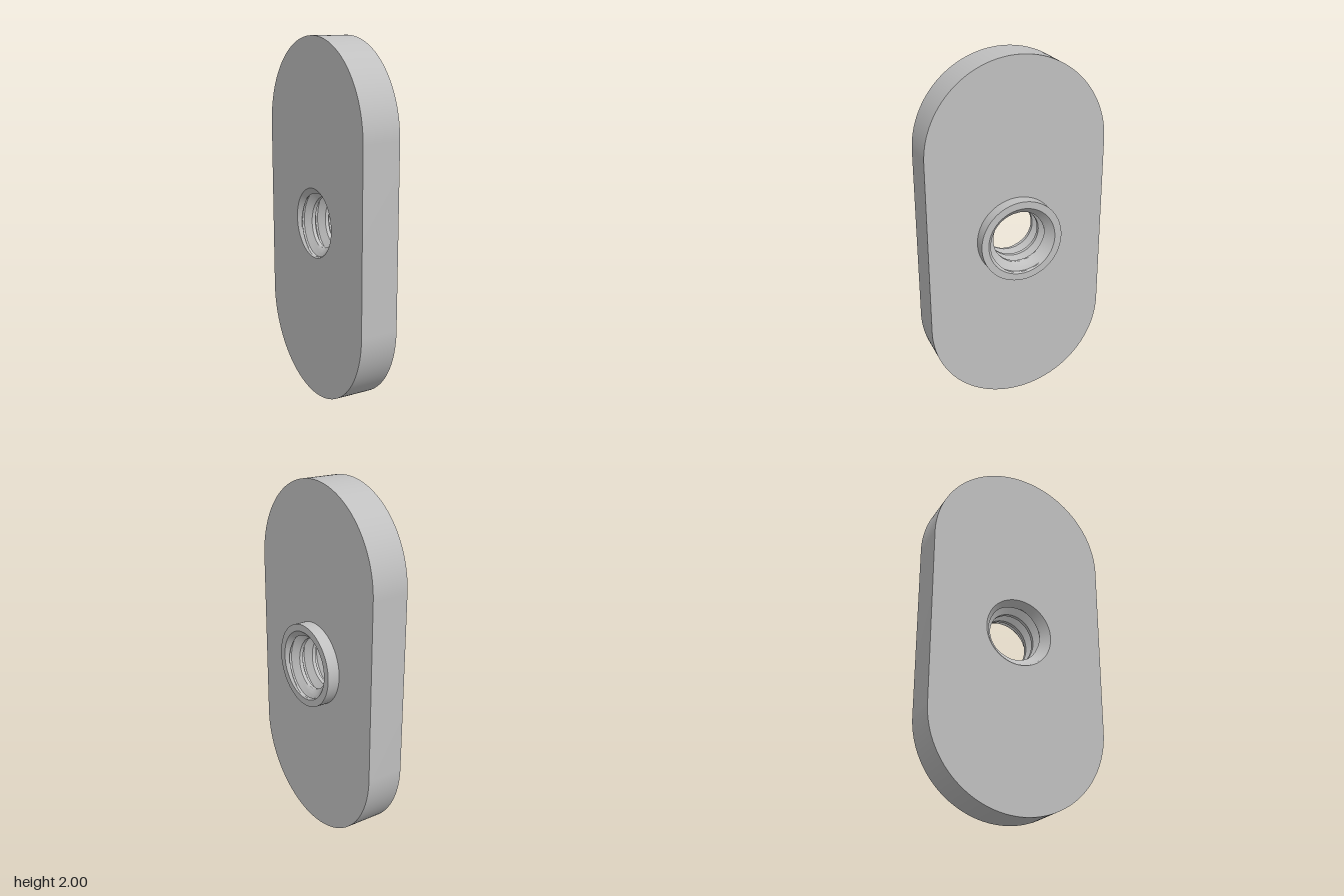
import * as THREE from 'three';
import { toCreasedNormals } from 'three/addons/utils/BufferGeometryUtils.js';

const BACK = -0.142, FACE = 0.071, TIP = 0.141; // plate back, plate face, boss end along x
const WIDTH_R = 0.507, BOSS_R = 0.232, MOUTH_R = 0.193;
const ROOT_R = 0.186, CREST_R = 0.142, PITCH = 0.085;

// Bore radius at a point: trapezoid thread with a countersink at both ends
function boreRadius(x, phase) {
  const f = phase - Math.floor(phase);
  const d = Math.abs(f - 0.5) * 2; // 0 at crest, 1 at root
  const ramp = Math.min(1, Math.max(0, (d - 0.25) / 0.625));
  const thread = CREST_R + (ROOT_R - CREST_R) * ramp;
  const depth = Math.min(x - BACK, TIP - x);
  return Math.max(thread, MOUTH_R - depth * 1.0);
}

// Internal thread: rows follow the helix and are clamped to the bore ends
function threadGeometry() {
  const around = 96, perTurn = 16;
  const first = Math.floor(BACK / PITCH) - 1, last = Math.ceil(TIP / PITCH);
  const rows = (last - first) * perTurn;
  const pos = [], index = [], xs = [];
  for (let j = 0; j <= around; j++) {
    const a = (j / around) * Math.PI * 2;
    for (let i = 0; i <= rows; i++) {
      const phase = first + i / perTurn;
      const x = Math.min(TIP, Math.max(BACK, (phase + j / around) * PITCH));
      const r = boreRadius(x, x / PITCH - j / around);
      xs.push(x);
      pos.push(x, r * Math.cos(a), r * Math.sin(a));
    }
  }
  const n = rows + 1;
  for (let j = 0; j < around; j++) {
    for (let i = 0; i < rows; i++) {
      const a = j * n + i, b = a + 1, c = a + n, d = c + 1;
      if (xs[b] > xs[a]) index.push(a, b, c);
      if (xs[d] > xs[c]) index.push(b, d, c);
    }
  }
  const g = new THREE.BufferGeometry();
  g.setAttribute('position', new THREE.Float32BufferAttribute(pos, 3));
  g.setIndex(index);
  return toCreasedNormals(g, 0.45);
}

export function createModel() {
  const model = new THREE.Group();
  model.name = 'threadedPlate';
  const metal = new THREE.MeshStandardMaterial({ color: 0xc0c0c0 });
  metal.name = 'grey metal';
  const add = (name, geometry, y = 0) => {
    const mesh = new THREE.Mesh(geometry, metal);
    mesh.name = name;
    mesh.position.y = y;
    model.add(mesh);
  };

  // Plate with rounded ends and a round hole
  const outline = new THREE.Shape();
  outline.absarc(0, 2 - WIDTH_R, WIDTH_R, 0, Math.PI, false);
  outline.absarc(0, WIDTH_R, WIDTH_R, Math.PI, Math.PI * 2, false);
  outline.closePath();
  const hole = new THREE.Path();
  hole.absarc(0, 1, MOUTH_R, 0, Math.PI * 2, true);
  outline.holes.push(hole);
  const plate = new THREE.ExtrudeGeometry(outline, { depth: FACE - BACK, bevelEnabled: false, curveSegments: 48 });
  plate.rotateY(Math.PI / 2).translate(BACK, 0, 0);
  add('plate', toCreasedNormals(plate, 0.5));

  // Raised collar around the hole
  const profile = [[BOSS_R, FACE], [BOSS_R, TIP], [MOUTH_R, TIP]].map(([r, h]) => new THREE.Vector2(r, h));
  const collar = new THREE.LatheGeometry(profile, 96);
  collar.rotateZ(-Math.PI / 2);
  add('collar', toCreasedNormals(collar, 0.5), 1);

  // Threaded bore
  add('internalThread', threadGeometry(), 1);

  return model;
}
